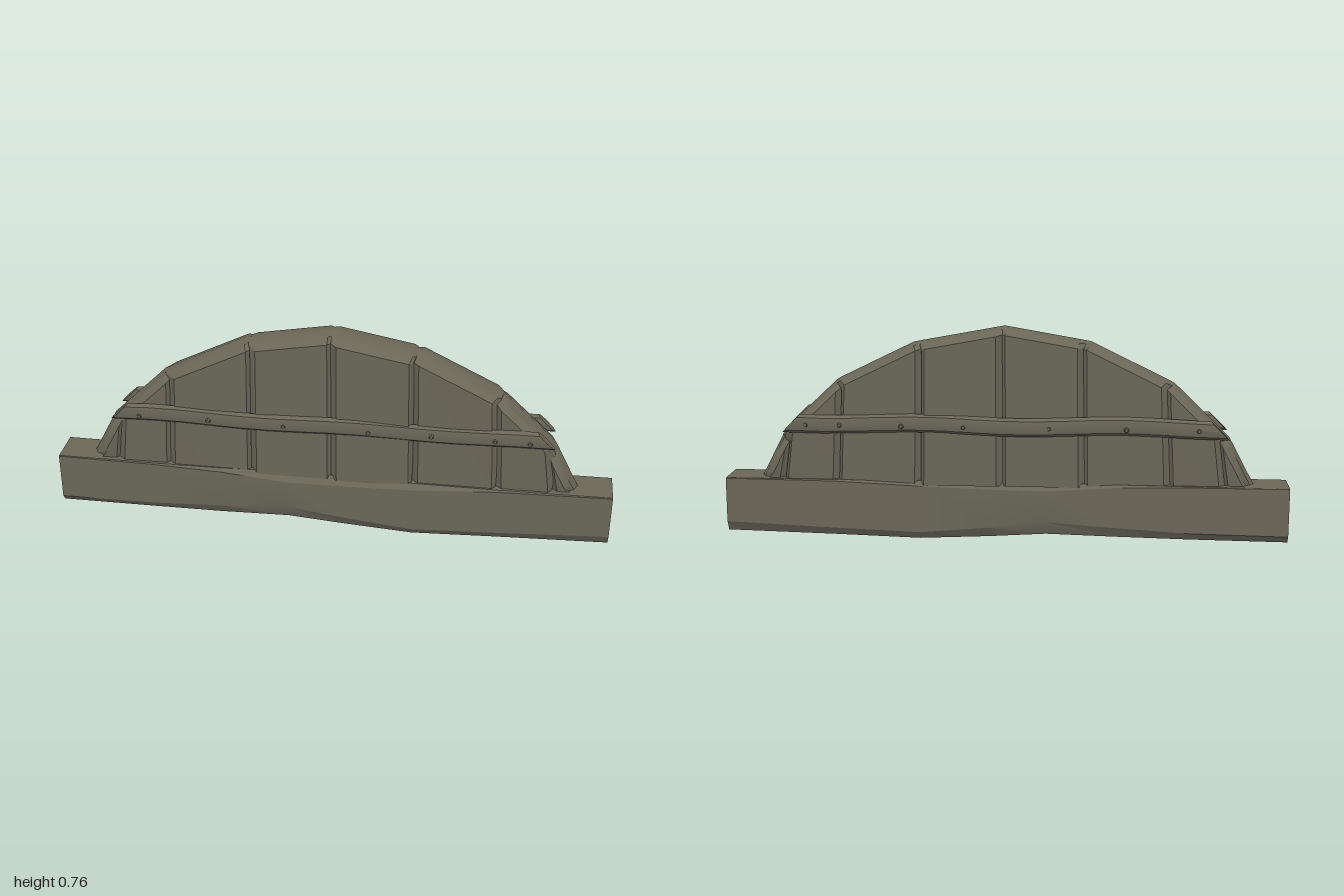
import * as THREE from 'three';
import { toCreasedNormals } from 'three/addons/utils/BufferGeometryUtils.js';

// Skin a list of closed cross-sections running towards +x
function loft(sections, capped) {
  const n = sections[0].length, index = [];
  sections.slice(1).forEach((_, i) => {
    for (let j = 0; j < n; j++) {
      const k = (j + 1) % n, a = i * n + j, b = i * n + k, c = a + n, d = b + n;
      index.push(a, c, b, b, c, d);
    }
  });
  if (capped) {
    const e = (sections.length - 1) * n;
    for (let j = 1; j < n - 1; j++) index.push(0, j, j + 1, e, e + j + 1, e + j);
  }
  const g = new THREE.BufferGeometry();
  g.setAttribute('position', new THREE.Float32BufferAttribute(sections.flat(2), 3));
  g.setIndex(index);
  return toCreasedNormals(g, 0.45);
}

// Outline of the arch: x, height
const ARCH = [[-0.88, 0.21], [-0.79, 0.38], [-0.595, 0.57], [-0.31, 0.712], [0, 0.765],
  [0.32, 0.705], [0.595, 0.57], [0.79, 0.385], [0.88, 0.21]];
const BASE = 0.2;

function archHeight(x) {
  let i = 0;
  while (i < ARCH.length - 2 && x > ARCH[i + 1][0]) i++;
  const [x0, y0] = ARCH[i], [x1, y1] = ARCH[i + 1];
  return y0 + (y1 - y0) * (x - x0) / (x1 - x0);
}

// One plank column: bevelled top edge, slightly flaring faces
function plankSection(x, w, inset) {
  const h = archHeight(x);
  const at = (s, z) => [x * s, BASE + (h - BASE) * s, z];
  const front = w - inset, back = -(w - inset) + 0.004;
  const low = 0.008;
  return [[x * 0.985, BASE, front - low], at(0.955, front), at(0.985, front * 0.65), at(1, 0),
    at(0.985, back * 0.65), at(0.955, back), [x * 0.985, BASE, back + low]];
}

export function createModel() {
  const model = new THREE.Group();
  const wood = new THREE.MeshStandardMaterial({ color: 0x6a6758, side: THREE.DoubleSide });
  wood.name = 'weathered wood';
  const add = (name, geometry, parent = model) => {
    const mesh = new THREE.Mesh(geometry, wood);
    mesh.name = name;
    parent.add(mesh);
    return mesh;
  };

  // Hollow base beam, open at both ends
  // x, bottom y, lower chamfer, upper front chamfer, front z, back z
  const beam = [
    [-1, 0.016, 0.024, 0.002, 0.07, -0.07],
    [-0.65, 0.018, 0.026, 0.004, 0.073, -0.069],
    [-0.4, 0.021, 0.036, 0.012, 0.076, -0.066],
    [-0.15, 0.025, 0.047, 0.036, 0.074, -0.062],
    [0.05, 0.012, 0.036, 0.032, 0.078, -0.064],
    [0.3, 0, 0.026, 0.022, 0.084, -0.066],
    [0.6, 0.008, 0.028, 0.006, 0.078, -0.068],
    [1, 0.016, 0.036, 0.002, 0.07, -0.07],
  ].map(([x, b, c, t, f, k]) => [
    [x, b, f - 0.018], [x, b + c, f], [x, 0.213 - t, f], [x, 0.213, f - 0.002 - t * 0.5],
    [x, 0.213, k + 0.002 + t * 0.4], [x, 0.213 - t * 0.8, k], [x, b + c, k], [x, b, k + 0.018],
  ]);
  add('baseBeam', loft(beam, false));

  // Planks between the joints, each with bevelled sides
  const planks = new THREE.Group();
  planks.name = 'planks';
  model.add(planks);
  const joints = [-0.88, -0.79, -0.595, -0.29, 0.005, 0.3, 0.6, 0.8, 0.88];
  const widths = [0.056, 0.066, 0.071, 0.074, 0.08, 0.073, 0.069, 0.058];
  widths.forEach((w, i) => {
    const a = joints[i], b = joints[i + 1];
    const xs = [a, a + 0.022, ...ARCH.map(p => p[0]).filter(x => x > a + 0.03 && x < b - 0.02), b - 0.012, b];
    const sections = xs.map((x, j) => plankSection(x, w,
      j === 0 ? 0.02 : j === xs.length - 1 ? 0.014 : 0));
    add('plank' + (i + 1), loft(sections, true), planks);
  });

  // Wavy rail with slanted ends and small pegs on each face
  for (const side of [1, -1]) {
    const rail = new THREE.Group();
    rail.name = side > 0 ? 'frontRail' : 'backRail';
    model.add(rail);
    const sections = [];
    for (let i = 0; i <= 14; i++) {
      const x = -0.755 + 1.51 * i / 14;
      const slant = i === 0 ? 1 : i === 14 ? -1 : 0;
      const cy = 0.42 + 0.005 * Math.sin(x * 9 + side);
      const cz = side * (0.069 + 0.004 * Math.cos(x * 7));
      const ring = [];
      for (let j = 0; j < 8; j++) {
        const t = -j / 8 * Math.PI * 2;
        const y = Math.sin(t) * 0.033;
        ring.push([x + slant * y, cy + y, cz - Math.cos(t) * 0.017]);
      }
      sections.push(ring);
    }
    add('railBar', loft(sections, true), rail);
    for (const x of [-0.68, -0.43, -0.16, 0.14, 0.36, 0.58, 0.7]) {
      const peg = add('peg', new THREE.CylinderGeometry(0.006, 0.014, 0.02, 6).toNonIndexed(), rail);
      peg.geometry.computeVertexNormals();
      peg.rotation.x = side * Math.PI / 2;
      peg.position.set(x, 0.415, side * 0.081);
    }
  }
  return model;
}
